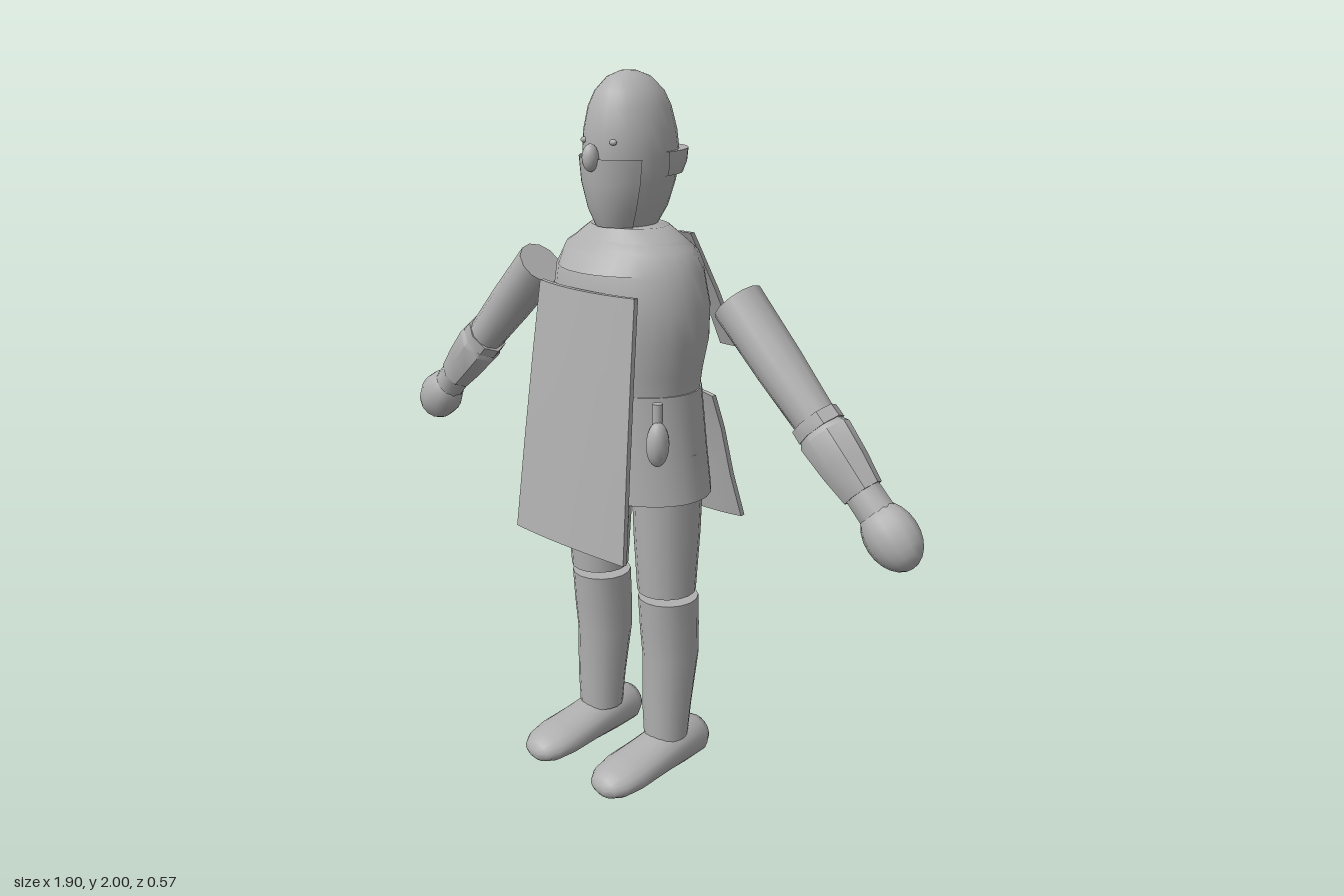
import * as THREE from 'three';
import { toCreasedNormals } from 'three/addons/utils/BufferGeometryUtils.js';

const grey = new THREE.MeshStandardMaterial({ color: 0xb0b0b0, side: THREE.DoubleSide });
grey.name = 'plain grey';

// Skin through elliptic sections [y, cx, cz, rx, rz], listed upwards; angle 0 is +z
function loft(rows, n = 20, from = 0, to = Math.PI * 2) {
  const closed = to - from > 6.28;
  const pos = [], idx = [], w = n + 1;
  for (const [y, cx, cz, rx, rz] of rows)
    for (let j = 0; j <= n; j++) {
      const a = from + (to - from) * j / n;
      pos.push(cx + rx * Math.sin(a), y, cz + rz * Math.cos(a));
    }
  for (let i = 0; i < rows.length - 1; i++)
    for (let j = 0; j < n; j++) {
      const a = i * w + j, b = closed && j === n - 1 ? i * w : a + 1;
      idx.push(a, b, a + w, b, b + w, a + w);
    }
  if (closed) {
    const last = rows.length - 1, c = rows.length * w;
    for (const r of [rows[0], rows[last]]) pos.push(r[1], r[0], r[2]);
    for (let j = 0; j < n; j++) {
      const k = (j + 1) % n;
      idx.push(c, k, j, c + 1, last * w + j, last * w + k);
    }
  }
  const g = new THREE.BufferGeometry();
  g.setAttribute('position', new THREE.Float32BufferAttribute(pos, 3));
  g.setIndex(idx);
  return toCreasedNormals(g, 0.75);
}

// Bowed cloth panel through rows [y, cx, halfWidth, z], listed downwards
function panel(rows, bow, thick, hem = 0) {
  const n = rows.length - 1;
  const g = new THREE.BoxGeometry(2, 1, 1, 8, n, 1), p = g.attributes.position;
  for (let i = 0; i < p.count; i++) {
    const u = p.getX(i), k = Math.round((0.5 - p.getY(i)) * n);
    const [y, cx, hw, z] = rows[k];
    p.setXYZ(i, cx + u * hw, y + (k === n ? hem * u * u : 0), z - bow * u * u + p.getZ(i) * thick);
  }
  return toCreasedNormals(g, 0.6);
}

function add(parent, name, geometry) {
  const m = new THREE.Mesh(geometry, grey);
  m.name = name;
  parent.add(m);
  return m;
}

function blob(parent, name, x, y, z, rx, ry, rz, n = 16) {
  return add(parent, name, new THREE.SphereGeometry(1, n, 12).scale(rx, ry, rz).translate(x, y, z));
}

export function createModel() {
  const model = new THREE.Group();
  model.name = 'figure';

  // Head, face covering and headband
  add(model, 'head', loft([
    [1.605, 0, 0.02, 0.068, 0.09], [1.65, 0, 0.012, 0.088, 0.112], [1.72, 0, 0.01, 0.112, 0.127],
    [1.79, 0, 0.01, 0.122, 0.135], [1.85, 0, 0.013, 0.117, 0.13], [1.91, 0, 0.015, 0.103, 0.116],
    [1.95, 0, 0.016, 0.085, 0.097], [1.985, 0, 0.018, 0.052, 0.062], [2, 0, 0.02, 0.018, 0.022],
  ], 24));
  add(model, 'faceCovering', loft([
    [1.605, 0, 0.02, 0.074, 0.1], [1.65, 0, 0.014, 0.096, 0.126],
    [1.72, 0, 0.012, 0.119, 0.141], [1.785, 0, 0.01, 0.128, 0.147],
  ], 16, -1.05, 1.05));
  add(model, 'headband', loft([
    [1.735, 0, 0.01, 0.108, 0.115], [1.738, 0, 0, 0.122, 0.14], [1.765, 0, 0, 0.129, 0.155],
    [1.8, 0, 0, 0.128, 0.163], [1.8, 0, 0.01, 0.115, 0.125],
  ], 18, Math.PI * 0.5, Math.PI * 1.5));
  blob(model, 'nose', 0, 1.788, 0.16, 0.022, 0.036, 0.022);

  // Body, shoulder mantle and skirt
  add(model, 'torso', loft([
    [1.14, 0, 0.01, 0.208, 0.162], [1.22, 0, 0.01, 0.218, 0.17], [1.31, 0, 0.01, 0.238, 0.18],
    [1.4, 0, 0.012, 0.244, 0.178], [1.49, 0, 0.016, 0.226, 0.168], [1.55, 0, 0.015, 0.195, 0.145],
    [1.59, 0, 0.015, 0.13, 0.1],
  ], 28));
  add(model, 'mantle', loft([
    [1.495, 0, 0.01, 0.205, 0.192], [1.54, 0, 0.01, 0.198, 0.158],
    [1.575, 0, 0.012, 0.16, 0.12], [1.605, 0, 0.015, 0.115, 0.095],
  ], 28));
  add(model, 'skirt', loft([
    [0.87, 0, 0.005, 0.25, 0.187], [1.0, 0, 0.007, 0.234, 0.178], [1.17, 0, 0.01, 0.216, 0.168],
  ], 28));

  // Hanging cloth at the front and back
  add(model, 'frontPanel', panel([
    [1.45, 0, 0.178, 0.2], [1.25, 0, 0.188, 0.224], [1, 0, 0.2, 0.252], [0.755, 0, 0.212, 0.278],
  ], 0.025, 0.014, -0.01));
  add(model, 'backPanel', panel([
    [1.12, 0, 0.165, -0.182], [1.02, 0, 0.175, -0.212], [0.88, 0, 0.19, -0.238], [0.725, 0, 0.212, -0.265],
  ], -0.03, 0.016, 0.025));

  for (const s of [1, -1]) {
    const side = s > 0 ? 'left' : 'right';
    blob(model, side + 'Eye', s * 0.053, 1.828, 0.13, 0.011, 0.008, 0.008, 8);
    add(model, side + 'BackStrap', panel([
      [1.57, s * 0.065, 0.026, -0.135], [1.5, s * 0.072, 0.026, -0.172],
      [1.4, s * 0.085, 0.027, -0.22], [1.235, s * 0.112, 0.03, -0.28],
    ], 0, 0.016));

    // Pouch hanging from the waist
    blob(model, side + 'Pouch', s * 0.212, 1.055, 0.128, 0.03, 0.062, 0.034, 12);
    add(model, side + 'PouchNeck', new THREE.CylinderGeometry(0.014, 0.014, 0.07, 8)
      .translate(s * 0.205, 1.13, 0.122));

    // Arm, modelled hanging down and swung out
    const arm = new THREE.Group();
    arm.name = side + 'Arm';
    arm.position.set(s * 0.37, 1.445, 0.004);
    arm.rotation.z = s * Math.PI / 4;
    add(arm, 'upperArm', loft([
      [-0.4, 0, 0, 0.056, 0.052], [-0.2, 0, 0, 0.065, 0.064], [0, 0, 0, 0.07, 0.068],
    ], 12));
    add(arm, 'elbowCuff', loft([
      [-0.395, 0, 0, 0.07, 0.06], [-0.36, 0, 0, 0.069, 0.059],
    ], 8));
    add(arm, 'bracer', loft([
      [-0.58, 0, 0, 0.056, 0.05], [-0.5, 0, 0, 0.067, 0.06], [-0.41, 0, 0, 0.074, 0.066],
      [-0.39, 0, 0, 0.06, 0.055],
    ], 8));
    add(arm, 'wrist', loft([
      [-0.68, 0, 0, 0.052, 0.045], [-0.57, 0, 0, 0.05, 0.046],
    ], 10));
    blob(arm, 'hand', 0, -0.706, 0, 0.072, 0.092, 0.063, 12);
    model.add(arm);

    // Leg in two pieces, with a rounded shoe
    const x = s * 0.135;
    add(model, side + 'Thigh', loft([
      [0.575, x, 0.005, 0.083, 0.085], [0.75, x, 0.005, 0.092, 0.097], [1.0, x, 0.005, 0.1, 0.105],
    ], 16));
    add(model, side + 'Shin', loft([
      [0.11, x, 0.003, 0.066, 0.064], [0.21, x, 0, 0.074, 0.07], [0.36, x, -0.014, 0.079, 0.084],
      [0.46, x, -0.008, 0.083, 0.088], [0.553, x, -0.002, 0.085, 0.088],
    ], 16));
    // Sections run from heel to toe and are then laid flat
    const X = s * 0.14;
    add(model, side + 'Shoe', loft([
      [-0.142, X, -0.065, 0.022, 0.022], [-0.13, X, -0.066, 0.05, 0.045], [-0.1, X, -0.067, 0.07, 0.061],
      [-0.02, X, -0.07, 0.074, 0.068], [0.08, X, -0.061, 0.076, 0.056], [0.18, X, -0.053, 0.08, 0.048],
      [0.24, X, -0.047, 0.07, 0.041], [0.272, X, -0.044, 0.048, 0.029], [0.285, X, -0.042, 0.02, 0.012],
    ], 18).rotateX(Math.PI / 2));
  }
  return model;
}
